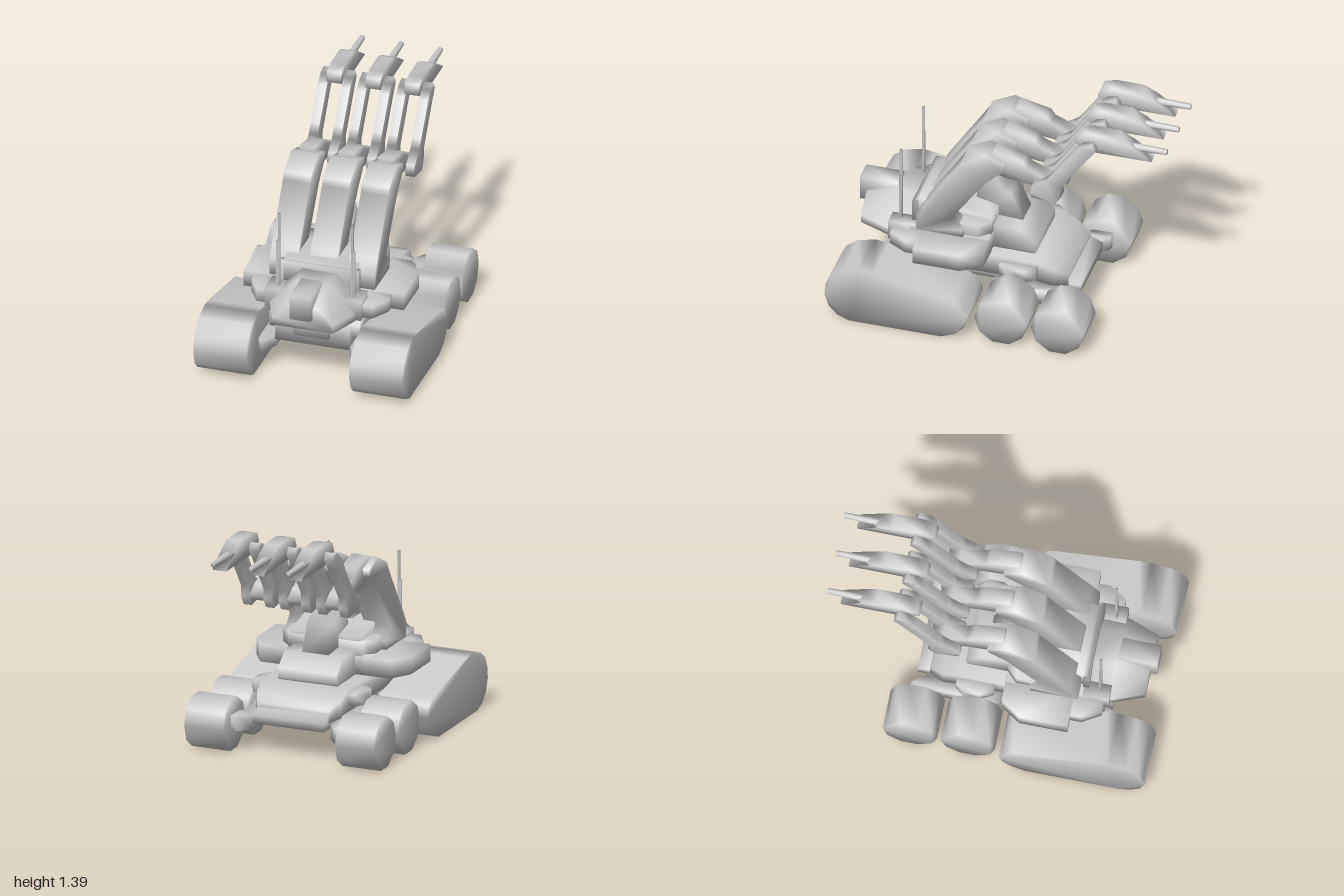
import * as THREE from 'three';
import { mergeVertices } from 'three/addons/utils/BufferGeometryUtils.js';

export function createModel() {
  const root = new THREE.Group();
  const grey = new THREE.MeshStandardMaterial({ color: 0xcccccc });
  grey.name = 'hull grey';

  // Every part is welded, so its normals run smoothly over the edges
  const add = (name, geo, parent = root) => {
    geo.deleteAttribute('uv');
    geo.deleteAttribute('normal');
    const smooth = mergeVertices(geo, 1e-4);
    smooth.computeVertexNormals();
    const mesh = new THREE.Mesh(smooth, grey);
    mesh.name = name;
    parent.add(mesh);
  };
  const shapeOf = pts => new THREE.Shape(pts.map(p => new THREE.Vector2(p[0], p[1])));

  // Side profile of (z, y) points, extruded across x
  const side = (pts, x0, x1) => new THREE.ExtrudeGeometry(shapeOf(pts), { depth: Math.abs(x1 - x0), bevelEnabled: false })
    .rotateY(-Math.PI / 2).translate(Math.max(x0, x1), 0, 0);
  // Plan outline of (x, z) points, extruded up in y
  const plan = (pts, y0, y1) => new THREE.ExtrudeGeometry(shapeOf(pts), { depth: y1 - y0, bevelEnabled: false })
    .rotateX(Math.PI / 2).translate(0, y1, 0);
  const box = (x0, x1, y0, y1, z0, z1) => new THREE.BoxGeometry(Math.abs(x1 - x0), y1 - y0, z1 - z0)
    .translate((x0 + x1) / 2, (y0 + y1) / 2, (z0 + z1) / 2);
  const rod = (r, length, x, y, z) => new THREE.CylinderGeometry(r, r, length, 8)
    .rotateZ(Math.PI / 2).translate(x, y, z);
  const decagon = (r, y, z) => Array.from({ length: 10 }, (_, i) => {
    const a = (i + 0.5) * Math.PI / 5;
    return [z + r * Math.sin(a), y + r * Math.cos(a)];
  });

  // Loft through [z, half cross-section] sections, front to back; halves run bottom to top at +x
  const loft = sections => {
    const rings = sections.map(([z, half]) => [
      ...half.map(([x, y]) => [x, y, z]),
      ...half.slice().reverse().map(([x, y]) => [-x, y, z]),
    ]);
    const n = rings[0].length, idx = [];
    const last = (rings.length - 1) * n;
    for (let r = 0; r < rings.length - 1; r++) {
      for (let i = 0; i < n; i++) {
        const a = r * n + i, b = r * n + (i + 1) % n;
        idx.push(a, a + n, b + n, a, b + n, b);
      }
    }
    for (let i = 1; i < n - 1; i++) idx.push(0, i, i + 1, last, last + i + 1, last + i);
    const geo = new THREE.BufferGeometry();
    geo.setAttribute('position', new THREE.Float32BufferAttribute(rings.flat(2), 3));
    geo.setIndex(idx);
    return geo;
  };

  // Hull
  add('hull', loft([
    [0.68, [[0.28, 0.25], [0.28, 0.335]]],
    [0.56, [[0.28, 0.25], [0.28, 0.38]]],
    [-0.2, [[0.28, 0.25], [0.28, 0.38]]],
    [-0.3, [[0.28, 0.235], [0.27, 0.335]]],
    [-0.385, [[0.23, 0.22], [0.23, 0.295]]],
  ]));
  add('lowerHull', side([[0.72, 0.185], [0.72, 0.33], [-0.38, 0.27], [-0.46, 0.235], [-0.46, 0.185]], -0.23, 0.23));
  add('noseBlock', box(-0.11, 0.11, 0.25, 0.38, 0.55, 0.75));

  // Running gear, mirrored
  const track = [[1, 0.16], [0.99, 0.24], [0.96, 0.3], [0.89, 0.35], [0.78, 0.378], [0.7, 0.368], [0.2, 0.265],
    [0.14, 0.23], [0.115, 0.16], [0.14, 0.09], [0.19, 0.035], [0.28, 0], [0.85, 0], [0.92, 0.03], [0.97, 0.08]];
  for (const s of [1, -1]) {
    const gear = new THREE.Group();
    gear.name = s > 0 ? 'leftRunningGear' : 'rightRunningGear';
    root.add(gear);
    add('frontTrack', side(track, s * 0.32, s * 0.65), gear);
    add('trackMount', plan([[s * 0.23, 0.34], [s * 0.33, 0.28], [s * 0.33, 0.75], [s * 0.29, 0.8], [s * 0.23, 0.7]], 0.13, 0.2), gear);
    for (const z of [-0.08, -0.43]) {
      add('rearWheel', side(decagon(0.164, 0.157, z), s * 0.363, s * 0.613), gear);
    }
    add('wheelBeam', plan([[s * 0.25, 0.06], [s * 0.33, 0.06], [s * 0.38, -0.03], [s * 0.38, -0.13], [s * 0.34, -0.18],
      [s * 0.34, -0.34], [s * 0.39, -0.39], [s * 0.39, -0.48], [s * 0.31, -0.48], [s * 0.25, -0.4]], 0.13, 0.22), gear);
    add('hullBracket', plan([[s * 0.25, -0.21], [s * 0.32, -0.21], [s * 0.365, -0.15], [s * 0.365, -0.06], [s * 0.32, 0.02], [s * 0.25, 0.02]], 0.285, 0.355), gear);
  }

  // Turret body
  add('turretBase', box(-0.3, 0.3, 0.385, 0.51, 0.09, 0.58));
  add('turretDeck', plan([[-0.3, 0.45], [-0.24, 0.53], [0.24, 0.53], [0.3, 0.45], [0.3, 0.15], [0.24, 0.09], [-0.24, 0.09], [-0.3, 0.15]], 0.5, 0.59));
  add('turretHousing', side([[0.58, 0.5], [0.58, 0.635], [0.54, 0.662], [0.3, 0.66], [0.09, 0.61], [0.09, 0.5]], -0.225, 0.225));
  add('shieldPlate', box(-0.245, 0.245, 0.5, 0.645, 0.545, 0.58));
  add('turretNose', loft([
    [0.91, [[0.19, 0.39], [0.19, 0.44], [0.09, 0.535]]],
    [0.72, [[0.262, 0.385], [0.262, 0.435], [0.1, 0.608]]],
    [0.53, [[0.27, 0.385], [0.27, 0.44], [0.11, 0.612]]],
  ]));
  add('sensorBox', side([[0.955, 0.47], [0.955, 0.627], [0.725, 0.627], [0.7, 0.55], [0.7, 0.47]], -0.065, 0.065));
  add('rearDeck', side([[0.12, 0.38], [0.12, 0.54], [-0.08, 0.53], [-0.175, 0.455], [-0.175, 0.395], [-0.16, 0.375]], -0.19, 0.19));
  add('rearStrut', side([[0.25, 0.52], [0.22, 0.7], [0.15, 0.89], [0.07, 0.73], [0.015, 0.7], [-0.06, 0.53]], -0.085, 0.085));

  // Side pods and antennas, mirrored
  for (const s of [1, -1]) {
    add('sidePod', plan([[s * 0.25, 0.5], [s * 0.5, 0.5], [s * 0.5, 0.21], [s * 0.42, 0.085], [s * 0.25, 0.085]], 0.387, 0.493));
    add('frontPod', plan([[s * 0.25, 0.45], [s * 0.425, 0.45], [s * 0.425, 0.57], [s * 0.36, 0.68], [s * 0.25, 0.68]], 0.4, 0.48));
    add('antennaBase', box(s * 0.2, s * 0.3, 0.39, 0.513, 0.55, 0.71));
    add('antennaSocket', box(s * 0.222, s * 0.246, 0.505, 0.815, 0.642, 0.658));
    add('antennaRod', box(s * 0.222, s * 0.234, 0.505, 0.997, 0.642, 0.658));
  }

  // Three jointed arms
  const upper = [[0.53, 0.51], [0.53, 0.61], [0.48, 0.69], [0.27, 1.01], [0.25, 1.055], [0.11, 1.125], [-0.02, 1.08],
    [-0.01, 1.03], [0.1, 0.93], [0.31, 0.635], [0.24, 0.56], [0.24, 0.51]];
  const link = [[0.09, 1.07], [0.065, 1.143], [-0.12, 1.1], [-0.15, 1.06], [-0.3, 1.0], [-0.37, 0.95], [-0.33, 0.91],
    [-0.19, 0.945], [0, 0.97], [0.09, 1.0]];
  const forearm = [[-0.18, 0.93], [-0.19, 0.975], [-0.28, 1.035], [-0.32, 1.09], [-0.45, 1.28], [-0.5, 1.325], [-0.56, 1.343],
    [-0.582, 1.3], [-0.53, 1.23], [-0.37, 1.0], [-0.375, 0.94], [-0.335, 0.875], [-0.19, 0.9]];
  const hand = [[-0.435, 1.315], [-0.455, 1.37], [-0.53, 1.391], [-0.7, 1.391], [-0.79, 1.345], [-0.915, 1.262], [-0.52, 1.262]];
  ['rightArm', 'middleArm', 'leftArm'].forEach((name, i) => {
    const arm = new THREE.Group();
    arm.name = name;
    arm.position.x = (i - 1) * 0.243;
    root.add(arm);
    add('upperArm', side(upper, -0.085, 0.085), arm);
    add('elbowLink', side(link, -0.047, 0.047), arm);
    for (const s of [1, -1]) add('forearmBar', side(forearm, s * 0.045, s * 0.1), arm);
    add('wristPin', rod(0.025, 0.12, 0, 1.3, -0.53), arm);
    add('hand', side(hand, -0.045, 0.045), arm);
    add('barrel', new THREE.CylinderGeometry(0.018, 0.025, 0.28, 8).rotateX(-Math.PI / 2).translate(0, 1.322, -0.86), arm);
  });

  return root;
}
